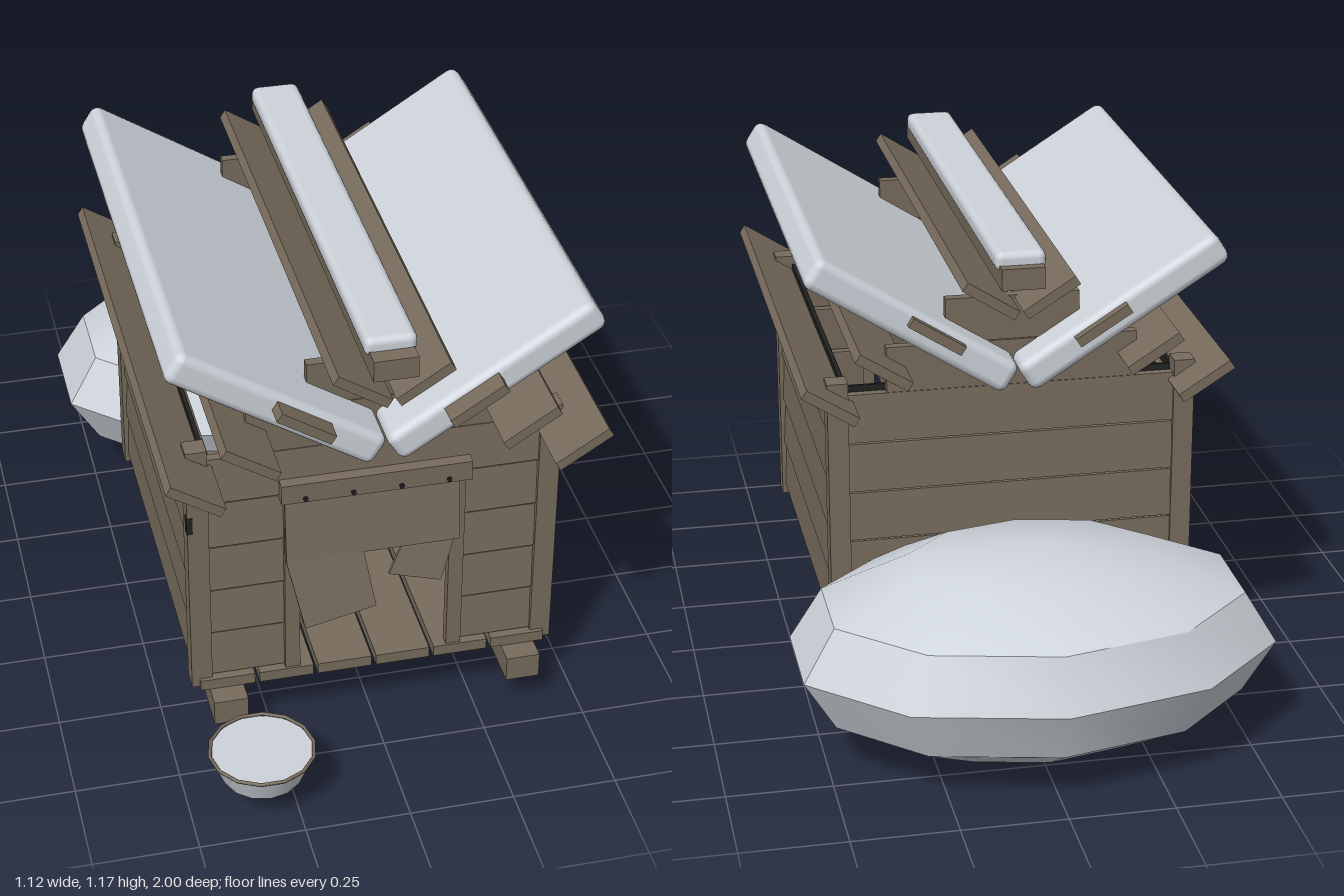
import * as THREE from 'three';
import { toCreasedNormals } from 'three/addons/utils/BufferGeometryUtils.js';
import { RoundedBoxGeometry } from 'three/addons/geometries/RoundedBoxGeometry.js';

const material = (name, color, side = THREE.FrontSide) => {
  const m = new THREE.MeshStandardMaterial({ color, side });
  m.name = name;
  return m;
};

export function createModel() {
  const wood = material('weathered wood', 0x776b5c);
  const snow = material('snow', 0xcdd3da);
  const dark = material('dark lining', 0x222222);
  const model = new THREE.Group();

  const add = (name, geometry, mat, x = 0, y = 0, z = 0, parent = model) => {
    const mesh = new THREE.Mesh(geometry, mat);
    mesh.name = name;
    mesh.position.set(x, y, z);
    parent.add(mesh);
    return mesh;
  };
  // Box given by its low and high corners
  const box = (name, [x0, x1], [y0, y1], [z0, z1], mat = wood) =>
    add(name, new THREE.BoxGeometry(x1 - x0, y1 - y0, z1 - z0), mat, (x0 + x1) / 2, (y0 + y1) / 2, (z0 + z1) / 2);

  // Skids and floor
  for (const s of [-1, 1]) box('skid', [s * 0.36 - 0.041, s * 0.36 + 0.041], [0.088, 0.153], [-0.42, 0.69]);
  for (let i = 0; i < 6; i++) {
    const x = -0.3575 + i * 0.143;
    box('floorBoard', [x - 0.066, x + 0.066], [0.155, 0.183], [-0.36, 0.64]);
  }

  // Corner posts
  for (const s of [-1, 1]) {
    for (const z of [-0.34, 0.605]) {
      box('cornerPost', [s * 0.4175 - 0.025, s * 0.4175 + 0.025], [0.16, 0.84], [z - 0.025, z + 0.025]);
    }
  }
  box('postMark', [-0.444, -0.43], [0.615, 0.66], [0.61, 0.632], dark);

  // Overlapping wall planks, row by row
  const pitch = 0.125;
  for (let row = 0; row < 5; row++) {
    const y0 = 0.187 + row * pitch, y1 = y0 + pitch - 0.006;
    box('backPlank', [-0.393, 0.393], [y0, y1], [-0.358, -0.334]).rotation.x = 0.05;
    for (const s of [-1, 1]) {
      box('sidePlank', [s * 0.42 - 0.011, s * 0.42 + 0.011], [y0, y1], [-0.32, 0.585]).rotation.z = s * 0.05;
      if (row < 4) box('frontPlank', [s * 0.302 - 0.09, s * 0.302 + 0.09], [y0, y1], [0.596, 0.62]).rotation.x = -0.05;
    }
    if (row === 4) box('frontTopPlank', [-0.393, 0.393], [y0, y1], [0.596, 0.62]).rotation.x = -0.05;
  }

  // Stepped gables
  for (const z of [-0.345, 0.605]) {
    box('lowerGablePlank', [-0.3, 0.3], [0.808, 0.92], [z - 0.012, z + 0.012]);
    box('upperGablePlank', [-0.16, 0.16], [0.922, 1.03], [z - 0.012, z + 0.012]);
  }

  // Dark lining on the back and sides
  box('backLining', [-0.39, 0.39], [0.185, 0.82], [-0.328, -0.32], dark);
  for (const s of [-1, 1]) box('sideLining', [s * 0.396 - 0.005, s * 0.396 + 0.005], [0.185, 0.82], [-0.32, 0.575], dark);

  // Door frame with nails
  for (const s of [-1, 1]) box('doorPost', [s * 0.198 - 0.018, s * 0.198 + 0.018], [0.183, 0.69], [0.608, 0.634]);
  box('doorHeader', [-0.226, 0.226], [0.677, 0.728], [0.62, 0.65]);
  for (const x of [-0.17, -0.057, 0.057, 0.17]) {
    const nail = add('nail', new THREE.CylinderGeometry(0.006, 0.006, 0.008, 8), dark, x, 0.688, 0.652);
    nail.rotation.x = Math.PI / 2;
  }

  // Torn door flap, leaning outward toward the bottom
  const flap = (name, points, z, lean) => {
    const shape = new THREE.Shape(points.map(([x, y]) => new THREE.Vector2(x, y - 0.68)));
    const g = new THREE.ExtrudeGeometry(shape, { depth: 0.009, bevelEnabled: false });
    add(name, g, wood, 0, 0.68, z).rotation.x = -lean;
  };
  flap('upperFlap', [[-0.218, 0.68], [-0.218, 0.52], [0.197, 0.52], [0.197, 0.68]], 0.637, 0.12);
  flap('leftFlap', [[-0.22, 0.525], [-0.18, 0.335], [-0.008, 0.37], [-0.035, 0.525]], 0.628, 0.16);
  flap('rightFlap', [[0.06, 0.525], [0.025, 0.447], [0.15, 0.412], [0.185, 0.525]], 0.626, 0.16);

  // Roof: tilted boards climbing to the ridge, with a snow slab on each side
  const tilt = 0.567;
  for (const s of [-1, 1]) {
    for (let i = 0; i < 4; i++) {
      const board = add('roofBoard', new THREE.BoxGeometry(0.145, 0.024, 1.245), wood,
        s * (0.447 - i * 0.1253), 0.819 + i * 0.0783, 0.162);
      board.rotation.z = s * tilt;
    }
    const slab = add('snowSlab', new RoundedBoxGeometry(0.556, 0.08, 1.175, 2, 0.022), snow, s * 0.25, 0.994, 0.147);
    slab.rotation.z = s * tilt;
  }
  box('ridgeBeam', [-0.051, 0.051], [1.084, 1.136], [-0.48, 0.795]);
  add('ridgeSnow', new RoundedBoxGeometry(0.12, 0.048, 1.21, 2, 0.018), snow, 0, 1.143, 0.15);

  // Snow drift against the back
  const drift = new THREE.SphereGeometry(1, 10, 6);
  drift.rotateY(Math.PI / 2);
  drift.scale(0.588, 0.255, 0.4);
  add('snowDrift', toCreasedNormals(drift, 0.5), snow, 0, 0.255, -0.6);

  // Bowl with a thin rim
  const bowl = new THREE.Group();
  bowl.name = 'bowl';
  bowl.position.set(-0.325, 0.085, 0.873);
  model.add(bowl);
  add('bowlBody', new THREE.CylinderGeometry(0.122, 0.095, 0.066, 14), snow, 0, 0.033, 0, bowl);
  const rim = add('bowlRim', new THREE.TorusGeometry(0.123, 0.0045, 6, 14), wood, 0, 0.069, 0, bowl);
  rim.rotation.x = Math.PI / 2;

  return model;
}
